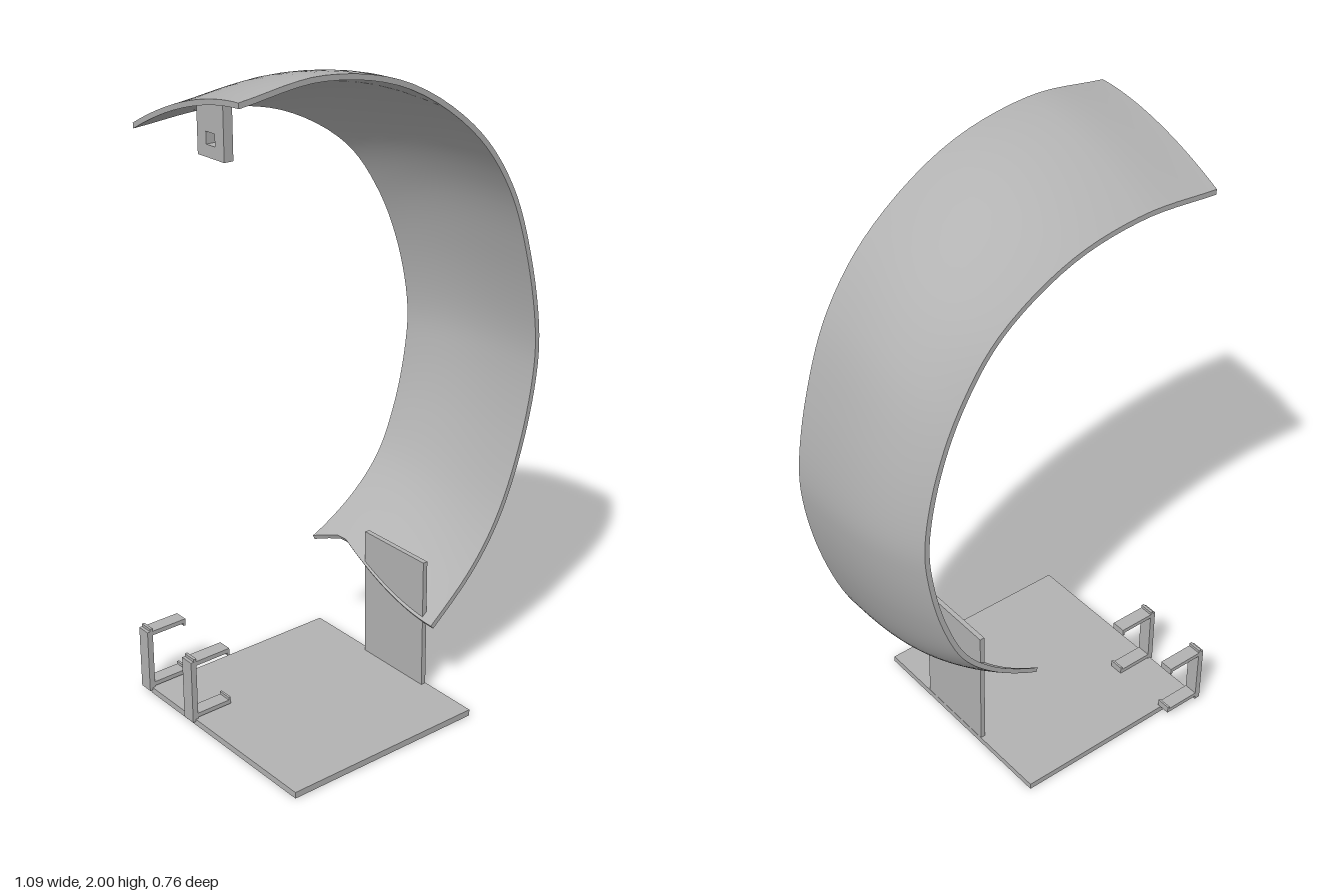
import * as THREE from 'three';
import { ParametricGeometry } from 'three/addons/geometries/ParametricGeometry.js';

const grey = new THREE.MeshStandardMaterial({ color: 0xb2b2b2 });
grey.name = 'grey';

// Box given by its bounds on each axis
function box(name, [x0, x1], [y0, y1], [z0, z1]) {
  const g = new THREE.BoxGeometry(x1 - x0, y1 - y0, z1 - z0);
  g.translate((x0 + x1) / 2, (y0 + y1) / 2, (z0 + z1) / 2);
  const m = new THREE.Mesh(g, grey);
  m.name = name;
  return m;
}

// Outer edge curves of the band at its front and back rims
const curve = (pts) => new THREE.CatmullRomCurve3(pts.map(([x, y]) => new THREE.Vector3(x, y, 0)));
const frontRim = curve([
  [-0.55, 1.97], [-0.28, 2.0], [0.01, 1.94], [0.27, 1.77], [0.415, 1.577], [0.5, 1.34], [0.543, 1.1],
  [0.537, 0.958], [0.49, 0.746], [0.405, 0.534], [0.3, 0.386], [0.13, 0.235], [0, 0.14]]);
const backRim = curve([
  [-0.55, 1.828], [-0.28, 1.843], [-0.03, 1.795], [0.2, 1.66], [0.33, 1.49], [0.415, 1.29], [0.456, 1.08],
  [0.447, 0.94], [0.405, 0.76], [0.335, 0.6], [0.235, 0.49], [0.1, 0.4], [-0.04, 0.34]]);
const Z_FRONT = 0.227, Z_BACK = -0.254, THICK = 0.016;

// Outer surface: rims blended with a bulge that is fullest at the side
function outer(u, v) {
  const power = 1.8 + 1.8 * Math.sin(Math.PI * Math.min(u, 1)) ** 2;
  return frontRim.getPoint(u).lerp(backRim.getPoint(u), v ** power);
}

// Lower end of the band: cut at the post, and level behind it
function lowerEnd(v) {
  let a = 0.6, b = 1;
  for (let i = 0; i < 24; i++) {
    const m = (a + b) / 2, p = outer(m, v);
    if (p.x < 0.135 && p.y < 0.38) b = m; else a = m;
  }
  return a;
}

// Point on the band, moved inward by depth
function bandPoint(s, v, depth, target) {
  const u = s * lowerEnd(v);
  const p = outer(u, v);
  const t = outer(Math.min(u + 0.002, 1), v).sub(outer(Math.max(u - 0.002, 0), v)).normalize();
  target.set(p.x + t.y * depth, p.y - t.x * depth, Z_FRONT + (Z_BACK - Z_FRONT) * v);
}

function makeBand() {
  const band = new THREE.Group();
  band.name = 'curvedBand';
  const patch = (name, fn, slices, stacks) => {
    const m = new THREE.Mesh(new ParametricGeometry(fn, slices, stacks), grey);
    m.name = name;
    band.add(m);
  };
  patch('bandOuter', (a, b, t) => bandPoint(a, b, 0, t), 64, 20);
  patch('bandInner', (a, b, t) => bandPoint(b, a, THICK, t), 20, 64);
  patch('bandFrontRim', (a, b, t) => bandPoint(a, 0, THICK * (1 - b), t), 64, 1);
  patch('bandBackRim', (a, b, t) => bandPoint(a, 1, THICK * b, t), 64, 1);
  patch('bandUpperEnd', (a, b, t) => bandPoint(0, a, THICK * b, t), 20, 1);
  patch('bandLowerEnd', (a, b, t) => bandPoint(1, a, THICK * (1 - b), t), 20, 1);
  return band;
}

// Hanging tab with a small square hole, drawn in z and y
function makeTab() {
  const rect = (pts) => pts.map(([z, y]) => new THREE.Vector2(z, y));
  const shape = new THREE.Shape(rect([[-0.12, 1.75], [0, 1.75], [0, 1.935], [-0.12, 1.89]]));
  shape.holes.push(new THREE.Path(rect([[-0.08, 1.785], [-0.08, 1.82], [-0.04, 1.82], [-0.04, 1.785]])));
  const g = new THREE.ExtrudeGeometry(shape, { depth: 0.03, bevelEnabled: false });
  g.rotateY(-Math.PI / 2);
  g.translate(-0.405, 0, 0);
  const m = new THREE.Mesh(g, grey);
  m.name = 'hangingTab';
  return m;
}

// C-shaped clip with small lips on the arm tips
function makeClip(z0, z1) {
  const clip = new THREE.Group();
  clip.name = 'clip';
  const z = [z0, z1];
  clip.add(
    box('clipUpright', [-0.53, -0.511], [0.012, 0.218], z),
    box('clipNub', [-0.52, -0.511], [0.21, 0.227], z),
    box('clipUpperArm', [-0.52, -0.39], [0.203, 0.217], z),
    box('clipLowerArm', [-0.52, -0.39], [0.024, 0.038], z),
    box('clipUpperLip', [-0.397, -0.39], [0.194, 0.21], z),
    box('clipLowerLip', [-0.397, -0.39], [0.03, 0.047], z));
  return clip;
}

export function createModel() {
  const model = new THREE.Group();
  model.name = 'bandStand';
  model.add(
    box('basePlate', [-0.52, 0.15], [0, 0.02], [-0.345, 0.38]),
    box('post', [0.133, 0.149], [0.01, 0.445], [-0.093, 0.18]),
    makeBand(), makeTab(),
    makeClip(-0.152, -0.106), makeClip(-0.382, -0.337));
  return model;
}
